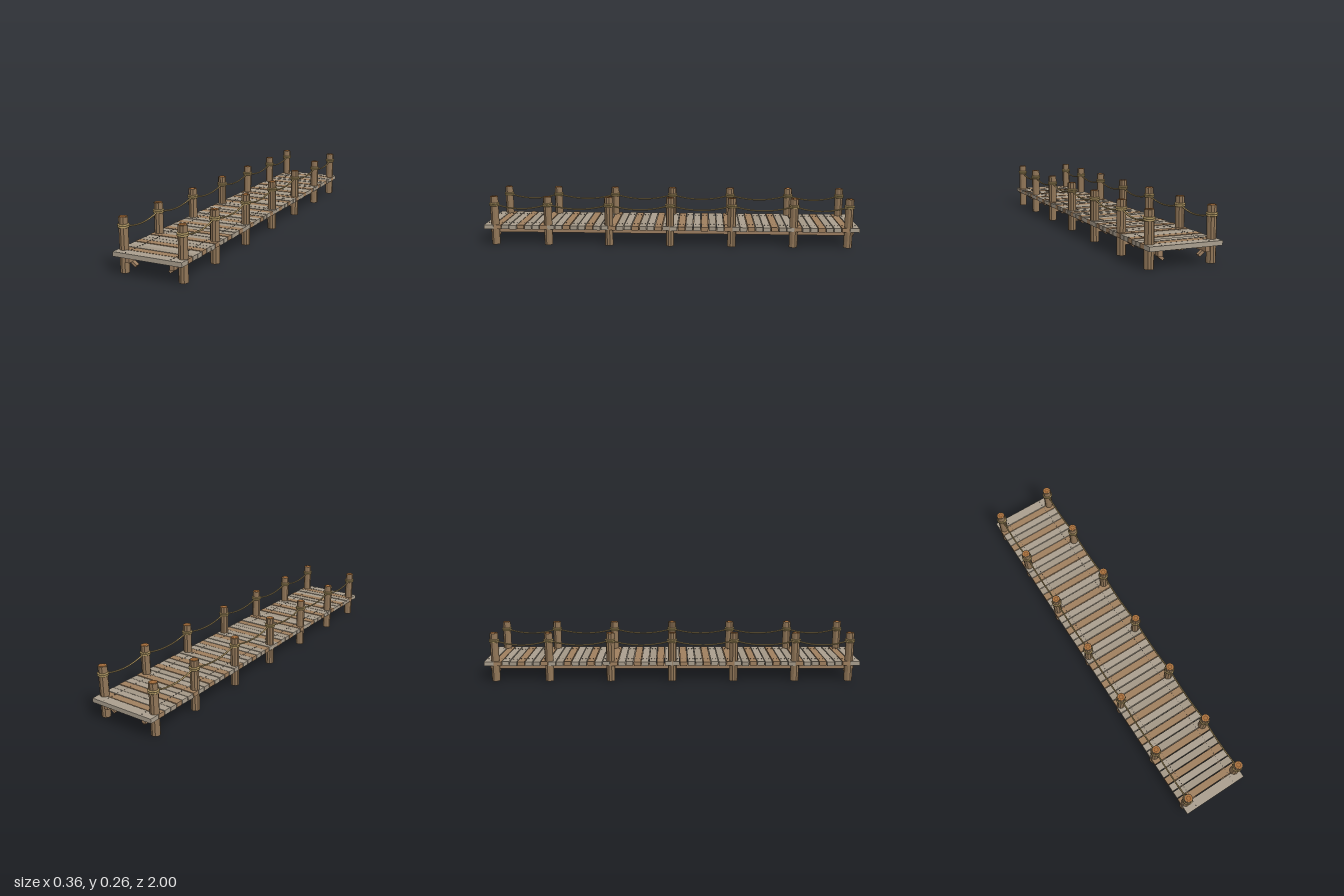
import * as THREE from 'three';

const mat = (name, color, flatShading = false) => {
  const m = new THREE.MeshStandardMaterial({ color, flatShading });
  m.name = name;
  return m;
};

export function createModel() {
  const greyWood = mat('weathered grey wood', 0xaa9f8e);
  const paleWood = mat('pale grey wood', 0xa39786);
  const brownWood = mat('brown wood', 0xa0805f);
  const beamWood = mat('beam wood', 0x9c7e60);
  const postWood = mat('post wood', 0x917658, true);
  const endGrain = mat('end grain', 0xa8703c);
  const ringGrain = mat('growth ring', 0x7d5029);
  const ropeFibre = mat('rope', 0xad9562);
  const iron = mat('nail iron', 0x4a4540);

  const model = new THREE.Group();
  model.name = 'boardwalk';
  const add = (name, geo, material, x, y, z, parent = model) => {
    const mesh = new THREE.Mesh(geo, material);
    mesh.name = name;
    mesh.position.set(x, y, z);
    parent.add(mesh);
    return mesh;
  };

  const postX = 0.153, postH = 0.26, postR = 0.0225;
  const postZ = [-0.945, -0.657, -0.329, 0, 0.329, 0.657, 0.945];

  // Deck planks with slightly uneven heights; every third one is brown
  const inner = 46, endW = 0.052, span = 2 - 2 * endW, pitch = span / inner;
  const nailGeo = new THREE.CylinderGeometry(0.0025, 0.0025, 0.002, 6);
  const addPlank = (z, width, lift, material) => {
    add('plank', new THREE.BoxGeometry(0.356, 0.022, width), material, 0, 0.0975 + lift, z);
    for (const x of [-0.116, 0.116]) {
      for (const dz of [-0.25, 0.25]) {
        add('nail', nailGeo, iron, x, 0.1092 + lift, z + dz * width);
      }
    }
  };
  for (let i = 0; i < inner; i++) {
    const z = -1 + endW + pitch * (i + 0.5);
    const material = i % 3 === 0 ? brownWood : i % 3 === 1 ? greyWood : paleWood;
    addPlank(z, pitch - 0.004, 0.001 * Math.sin(i * 2.3), material);
  }
  for (const s of [-1, 1]) addPlank(s * (1 - endW / 2 + 0.001), endW - 0.002, 0.0005, greyWood);

  // Long stringers under the deck
  for (const s of [-1, 1]) {
    add('stringer', new THREE.BoxGeometry(0.023, 0.028, 1.96), beamWood, s * 0.116, 0.0725, 0);
  }

  // Crossbeams between the inner pairs of posts
  for (const z of postZ.slice(1, -1)) {
    add('crossbeam', new THREE.BoxGeometry(0.28, 0.032, 0.026), beamWood, 0, 0.066, z);
  }

  // Posts with end grain, rope lashing and a slanted brace
  const postGeo = new THREE.CylinderGeometry(postR, postR, postH, 10);
  const capGeo = new THREE.CylinderGeometry(0.019, 0.019, 0.002, 10);
  const ringGeo = new THREE.RingGeometry(0.008, 0.012, 16).rotateX(-Math.PI / 2);
  const lashGeo = new THREE.TorusGeometry(0.0222, 0.005, 8, 20).rotateX(Math.PI / 2);
  const braceGeo = new THREE.BoxGeometry(0.066, 0.014, 0.02);
  for (const s of [-1, 1]) {
    for (const z of postZ) {
      const post = new THREE.Group();
      post.name = 'post';
      post.position.set(s * postX, 0, z);
      model.add(post);
      add('postShaft', postGeo, postWood, 0, postH / 2, 0, post);
      add('postEnd', capGeo, endGrain, 0, postH + 0.001, 0, post);
      add('growthRing', ringGeo, ringGrain, 0, postH + 0.0026, 0, post);
      for (const y of [0.2145, 0.2235]) add('lashing', lashGeo, ropeFibre, 0, y, 0, post);
      const brace = add('brace', braceGeo, beamWood, s * (0.113 - postX), 0.059, 0, post);
      brace.rotation.z = s * 0.68;
    }
  }

  // Rope sagging from post to post
  for (const s of [-1, 1]) {
    for (let i = 0; i < postZ.length - 1; i++) {
      const points = [];
      for (let k = 0; k <= 8; k++) {
        const t = k / 8;
        points.push(new THREE.Vector3(
          s * postX,
          0.22 - 0.026 * 4 * t * (1 - t),
          THREE.MathUtils.lerp(postZ[i], postZ[i + 1], t)
        ));
      }
      const curve = new THREE.CatmullRomCurve3(points);
      add('rope', new THREE.TubeGeometry(curve, 20, 0.004, 8), ropeFibre, 0, 0, 0);
    }
  }
  return model;
}
